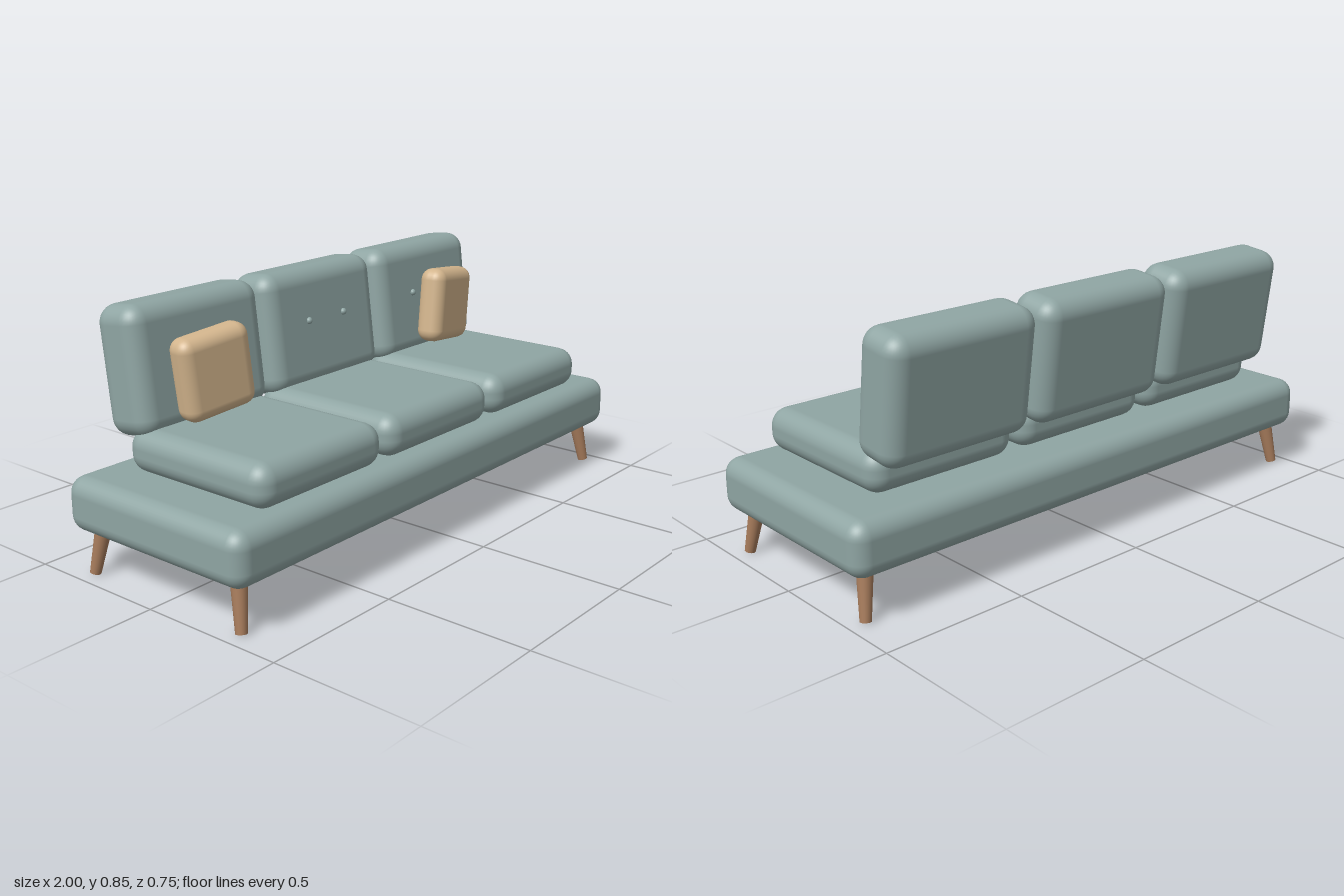
import * as THREE from 'three';
import { RoundedBoxGeometry } from 'three/addons/geometries/RoundedBoxGeometry.js';

export function createModel() {
  const sofa = new THREE.Group();
  sofa.name = 'sofa';

  const material = (name, color) => {
    const m = new THREE.MeshStandardMaterial({ color });
    m.name = name;
    return m;
  };
  const fabric = material('sage fabric', 0x8fa5a3);
  const linen = material('tan linen', 0xd2b48c);
  const wood = material('brown wood', 0xa67b5b);

  const add = (parent, name, geometry, mat, x, y, z) => {
    const mesh = new THREE.Mesh(geometry, mat);
    mesh.name = name;
    mesh.position.set(x, y, z);
    parent.add(mesh);
    return mesh;
  };
  const padded = (w, h, d, r) => new RoundedBoxGeometry(w, h, d, 4, r);

  // Wide padded platform
  add(sofa, 'base', padded(2, 0.18, 0.75, 0.055), fabric, 0, 0.24, 0);

  // Three seat cushions, each with a leaning, buttoned back cushion
  const seat = padded(0.553, 0.143, 0.585, 0.06);
  const back = padded(0.553, 0.414, 0.186, 0.06);
  const button = new THREE.SphereGeometry(0.012, 12, 8);
  for (const x of [-0.577, -0.002, 0.575]) {
    add(sofa, 'seatCushion', seat, fabric, x, 0.4015, 0.038);

    const backrest = new THREE.Group();
    backrest.name = 'backrest';
    backrest.position.set(x, 0.64, -0.265);
    backrest.rotation.x = -0.12;
    sofa.add(backrest);
    add(backrest, 'backCushion', back, fabric, 0, 0, 0);
    for (const side of [-1, 1]) {
      add(backrest, 'button', button, fabric, side * 0.089, 0.025, 0.093);
    }
  }

  // Mirrored throw pillows, turned inward and tipped
  const pillow = padded(0.262, 0.272, 0.1, 0.042);
  for (const side of [-1, 1]) {
    const p = add(sofa, 'throwPillow', pillow, linen, side * 0.603, 0.622, -0.115);
    p.rotation.set(0, side * 0.145, -side * 0.12);
  }

  // Four tapered legs splayed toward the corners
  const up = new THREE.Vector3(0, 1, 0);
  for (const sx of [-1, 1]) {
    for (const sz of [-1, 1]) {
      const foot = new THREE.Vector3(sx * 0.942, 0.004, sz * 0.32);
      const top = new THREE.Vector3(sx * 0.918, 0.17, sz * 0.292);
      const axis = top.clone().sub(foot);
      const mid = top.clone().add(foot).multiplyScalar(0.5);
      const geometry = new THREE.CylinderGeometry(0.027, 0.018, axis.length(), 16);
      const leg = add(sofa, 'leg', geometry, wood, mid.x, mid.y, mid.z);
      leg.quaternion.setFromUnitVectors(up, axis.normalize());
    }
  }

  return sofa;
}
